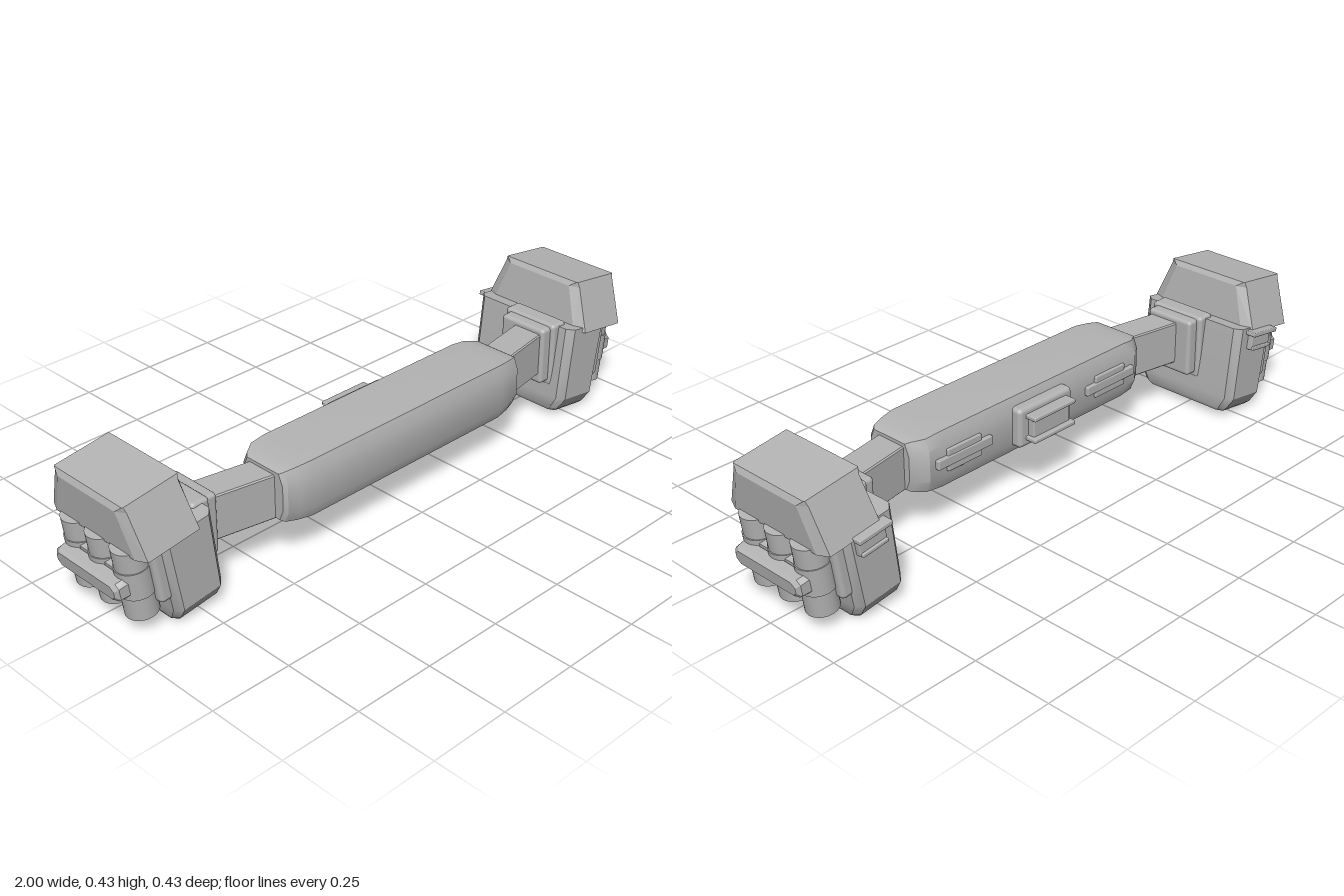
import * as THREE from 'three';
import { toCreasedNormals } from 'three/addons/utils/BufferGeometryUtils.js';
import { RoundedBoxGeometry } from 'three/addons/geometries/RoundedBoxGeometry.js';

const grey = new THREE.MeshStandardMaterial({ color: 0xb4b4b4 });
grey.name = 'plain grey';

// Chamfered eight-sided loft along y; a section is [y, x0, x1, z0, z1, chamferX, chamferZ]
function loft(sections) {
  const rings = sections.map(([y, x0, x1, z0, z1, cx, cz]) => [
    [x1, y, z1 - cz], [x1, y, z0 + cz], [x1 - cx, y, z0], [x0 + cx, y, z0],
    [x0, y, z0 + cz], [x0, y, z1 - cz], [x0 + cx, y, z1], [x1 - cx, y, z1]]);
  const pos = [];
  const tri = (a, b, c) => pos.push(...a, ...b, ...c);
  for (let r = 0; r < rings.length - 1; r++) {
    const lo = rings[r], hi = rings[r + 1];
    for (let i = 0; i < 8; i++) {
      const j = (i + 1) % 8;
      tri(lo[i], lo[j], hi[j]);
      tri(lo[i], hi[j], hi[i]);
    }
  }
  const bottom = rings[0], top = rings[rings.length - 1];
  for (let i = 1; i < 7; i++) {
    tri(top[0], top[i], top[i + 1]);
    tri(bottom[0], bottom[i + 1], bottom[i]);
  }
  const g = new THREE.BufferGeometry();
  g.setAttribute('position', new THREE.Float32BufferAttribute(pos, 3));
  g.computeVertexNormals();
  return g;
}

function add(parent, name, geometry, x = 0, y = 0, z = 0) {
  const m = new THREE.Mesh(geometry, grey);
  m.name = name;
  m.position.set(x, y, z);
  parent.add(m);
  return m;
}

// Box given by its limits, with a small rounded edge
function block(parent, name, [x0, x1], [y0, y1], [z0, z1], r = 0.008) {
  const g = new RoundedBoxGeometry(x1 - x0, y1 - y0, z1 - z0, 2, r);
  return add(parent, name, g, (x0 + x1) / 2, (y0 + y1) / 2, (z0 + z1) / 2);
}

function makePouch() {
  const pouch = new THREE.Group();
  pouch.name = 'pouch';
  pouch.position.set(0.83, 0.22, 0.006);
  pouch.rotation.z = -0.14;

  // Body with a chamfered base, and the flared lid over it
  add(pouch, 'pouchBody', toCreasedNormals(loft([
    [-0.217, -0.106, 0.034, -0.15, 0.15, 0.012, 0.02],
    [-0.205, -0.114, 0.040, -0.163, 0.163, 0.014, 0.02],
    [-0.165, -0.120, 0.044, -0.188, 0.188, 0.02, 0.022],
    [0.07, -0.125, 0.050, -0.188, 0.188, 0.02, 0.022]]), 0.45));
  add(pouch, 'lid', loft([
    [0.055, -0.080, 0.121, -0.198, 0.198, 0.016, 0.035],
    [0.188, -0.078, 0.120, -0.148, 0.148, 0.016, 0.03],
    [0.204, -0.070, 0.110, -0.142, 0.142, 0.003, 0.003]]));

  // Outer holder with three cylinders and a crossbar
  block(pouch, 'holderPlate', [0.03, 0.075], [-0.125, 0.055], [-0.17, 0.17], 0.015);
  add(pouch, 'holderBand', loft([
    [-0.088, 0.03, 0.11, -0.147, 0.147, 0.015, 0.015],
    [-0.07, 0.03, 0.132, -0.142, 0.142, 0.02, 0.02],
    [-0.01, 0.03, 0.132, -0.14, 0.14, 0.02, 0.02],
    [0.002, 0.03, 0.11, -0.135, 0.135, 0.015, 0.015]]));
  for (const z of [-0.104, 0, 0.104]) {
    add(pouch, 'cylinder', new THREE.CylinderGeometry(0.047, 0.047, 0.218, 32), 0.096, -0.047, z);
    add(pouch, 'cylinderSleeve', new THREE.CylinderGeometry(0.05, 0.05, 0.085, 32), 0.096, -0.043, z);
  }
  const bar = loft([
    [0.135, -0.077, -0.016, -0.133, 0.133, 0.012, 0.012],
    [0.165, -0.075, -0.018, -0.131, 0.131, 0.012, 0.014],
    [0.176, -0.066, -0.025, -0.12, 0.12, 0.012, 0.014]]);
  bar.rotateZ(-Math.PI / 2).scale(1, -1, -1);
  add(pouch, 'crossbar', bar);

  // Rear buckle: a block with two flanges
  block(pouch, 'buckleBlock', [-0.072, 0.02], [0.0, 0.058], [-0.205, -0.18], 0.004);
  block(pouch, 'buckleTopFlange', [-0.085, 0.028], [0.05, 0.064], [-0.222, -0.18], 0.003);
  block(pouch, 'buckleBottomFlange', [-0.07, 0.018], [0.0, 0.012], [-0.212, -0.18], 0.003);
  return pouch;
}

function makeSide() {
  const side = new THREE.Group();
  // Strap slanting back from the bar to the pouch
  const strap = loft([
    [0.45, -0.29, -0.152, 0.055, 0.158, 0.004, 0.004],
    [0.73, -0.29, -0.152, 0.005, 0.108, 0.004, 0.004]]);
  strap.rotateZ(-Math.PI / 2).scale(1, 1, 1);
  strap.scale(1, 1, 1);
  add(side, 'strap', strap);
  // Stepped mount between strap and pouch
  block(side, 'strapMount', [0.655, 0.73], [0.12, 0.307], [-0.035, 0.133], 0.012);
  block(side, 'mountPlate', [0.69, 0.75], [0.105, 0.315], [-0.05, 0.145], 0.012);
  side.add(makePouch());

  // Long slim clip on the back of the bar
  block(side, 'rearClipBar', [0.2, 0.41], [0.213, 0.243], [-0.02, 0.01], 0.004);
  block(side, 'rearClipPlate', [0.24, 0.37], [0.193, 0.263], [-0.016, 0.01], 0.004);
  return side;
}

export function createModel() {
  const model = new THREE.Group();
  model.name = 'belt';

  // Long padded bar, tapered at both ends
  const half = [[0.475, 0.072, 0.03, 0.185], [0.465, 0.078, 0.018, 0.195],
    [0.43, 0.083, -0.005, 0.205], [0.38, 0.0875, -0.008, 0.213]];
  const section = (s, [x, h, z0, z1]) => [s * x, -0.228 - h, -0.228 + h, z0, z1, 0.035, 0.015];
  const bar = loft([...half.map(p => section(-1, p)), ...half.slice().reverse().map(p => section(1, p))]);
  bar.rotateZ(-Math.PI / 2);
  bar.scale(1, 1, 1);
  add(model, 'paddedBar', toCreasedNormals(bar, 0.5));

  // Central rear buckle with raised flanges
  block(model, 'rearBuckleBase', [-0.11, 0.11], [0.165, 0.29], [-0.038, 0.01], 0.014);
  block(model, 'rearBuckleBlock', [-0.075, 0.075], [0.19, 0.265], [-0.06, 0], 0.005);
  for (const y of [0.187, 0.257])
    block(model, 'rearBuckleFlange', [-0.085, 0.085], [y, y + 0.014], [-0.075, 0], 0.004);

  // Mirrored straps and pouches
  for (const s of [1, -1]) {
    const side = makeSide();
    side.name = s > 0 ? 'leftSide' : 'rightSide';
    side.scale.x = s;
    model.add(side);
  }
  return model;
}
